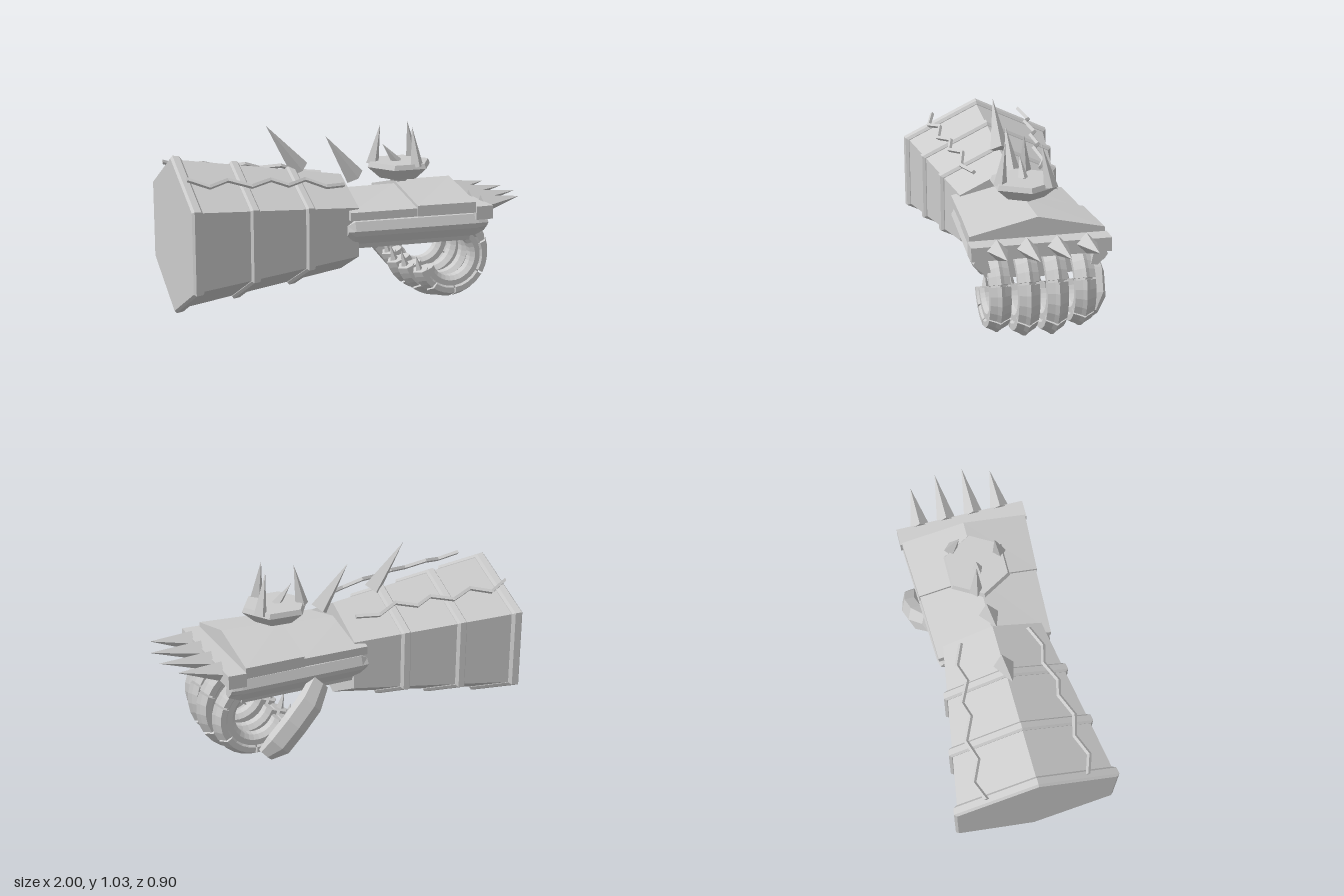
import * as THREE from 'three';

const steel = new THREE.MeshStandardMaterial({ color: 0xcccccc, flatShading: true });
steel.name = 'steel';

const V = (x, y, z) => new THREE.Vector3(x, y, z);

function addMesh(parent, name, geometry) {
  const mesh = new THREE.Mesh(geometry, steel);
  mesh.name = name;
  parent.add(mesh);
  return mesh;
}

// Closed solid through a row of equal-length convex rings, wound outwards
function loft(rings) {
  const n = rings[0].length;
  const tris = [];
  for (let i = 0; i < rings.length - 1; i++) {
    for (let j = 0; j < n; j++) {
      const k = (j + 1) % n;
      const a = rings[i][j], b = rings[i][k], c = rings[i + 1][k], d = rings[i + 1][j];
      tris.push([a, b, c], [a, c, d]);
    }
  }
  const first = rings[0], last = rings[rings.length - 1];
  for (let j = 1; j < n - 1; j++) {
    tris.push([first[0], first[j + 1], first[j]], [last[0], last[j], last[j + 1]]);
  }
  let volume = 0;
  for (const [a, b, c] of tris) volume += a.dot(b.clone().cross(c));
  const pts = tris.flatMap(([a, b, c]) => (volume > 0 ? [a, b, c] : [a, c, b]));
  const g = new THREE.BufferGeometry().setFromPoints(pts);
  g.computeVertexNormals();
  return g;
}

// Cross-section in the zy plane at a given x
const section = (x, zy) => zy.map(([z, y]) => V(x, y, z));

// Four-sided spike from a base point to a tip
function spike(parent, name, base, tip, radius) {
  const dir = tip.clone().sub(base);
  const m = addMesh(parent, name, new THREE.ConeGeometry(radius, dir.length(), 4));
  m.quaternion.setFromUnitVectors(V(0, 1, 0), dir.clone().normalize());
  m.position.copy(base).add(tip).multiplyScalar(0.5);
  return m;
}

// Hexagonal cuff section at x, grown outwards by a margin
function cuffRing(x, grow = 0) {
  const t = (x + 1) / 0.96;
  const h = 0.415 - 0.145 * t + grow;
  const s = 0.21 - 0.075 * t + grow * 0.5;
  const w = 0.43 - 0.15 * t + grow;
  const c = 0.467;
  return section(x, [[0, c + h], [w, c + s], [w, c - s], [0, c - h], [-w, c - s], [-w, c + s]]);
}

// Curled band around the finger centre, angles in degrees
function fingerBand(z, scale, from, to, inner, outer, half, steps) {
  const rings = [];
  for (let i = 0; i <= steps; i++) {
    const a = THREE.MathUtils.degToRad(from + ((to - from) * i) / steps);
    const profile = [
      [-half * 0.5, inner], [half * 0.5, inner], [half, inner + 0.025],
      [half, outer - 0.035], [half * 0.35, outer - 0.015], [0, outer],
      [-half * 0.35, outer - 0.015], [-half, outer - 0.035], [-half, inner + 0.025],
    ];
    rings.push(profile.map(([dz, r]) =>
      V(0.53 + Math.cos(a) * r * scale, 0.275 + Math.sin(a) * r * scale, z + dz)));
  }
  return loft(rings);
}

export function createModel() {
  const model = new THREE.Group();
  model.name = 'gauntlet';

  // Forearm cuff with raised bands
  const cuff = new THREE.Group();
  cuff.name = 'cuff';
  model.add(cuff);
  addMesh(cuff, 'cuffShell', loft([cuffRing(-0.99), cuffRing(-0.04)]));
  for (const x of [-0.97, -0.65, -0.33]) {
    const e = x === -0.97 ? 0.03 : 0.027;
    addMesh(cuff, 'cuffBand', loft([
      cuffRing(x - e, 0.004), cuffRing(x - e * 0.6, 0.02),
      cuffRing(x + e * 0.6, 0.02), cuffRing(x + e, 0.004),
    ]));
  }

  // Zigzag rods on both sides of the cuff
  const zigzag = [
    [-0.98, 0.82, 0.27], [-0.87, 0.78, 0.31], [-0.76, 0.80, 0.26],
    [-0.64, 0.765, 0.295], [-0.52, 0.782, 0.24], [-0.43, 0.75, 0.265],
    [-0.32, 0.765, 0.21], [-0.21, 0.722, 0.24], [-0.09, 0.715, 0.19],
  ];
  for (const side of [1, -1]) {
    const rings = zigzag.map(([x, y, z]) => [[0, 0.013], [0.013, 0], [0, -0.013], [-0.013, 0]]
      .map(([dz, dy]) => V(x, y + dy, side * z + dz)));
    addMesh(cuff, 'zigzagRod', loft(rings));
  }

  // Spikes along the top ridge
  spike(cuff, 'cuffSpike', V(-0.28, 0.78, 0), V(-0.47, 1.03, 0), 0.055);
  spike(cuff, 'wristSpike', V(0.045, 0.715, 0), V(-0.13, 0.955, 0), 0.055);

  // Hand: palm, back slab and ridged plates
  const hand = new THREE.Group();
  hand.name = 'hand';
  model.add(hand);
  const palm = (x, w) => section(x, [
    [w, 0.56], [w, 0.44], [w - 0.03, 0.37], [0, 0.35], [-w + 0.03, 0.37], [-w, 0.44], [-w, 0.56],
  ]);
  addMesh(hand, 'palm', loft([palm(-0.04, 0.28), palm(0.62, 0.31)]));
  const roof = (x, w, low, edge, ridge) => section(x, [
    [w, low], [w, edge], [0, ridge], [-w, edge], [-w, low],
  ]);
  addMesh(hand, 'rearPlate', loft([
    roof(-0.1, 0.32, 0.54, 0.585, 0.66), roof(0.28, 0.335, 0.54, 0.585, 0.662)]));
  addMesh(hand, 'frontPlate', loft([
    roof(0.28, 0.34, 0.54, 0.6, 0.682), roof(0.62, 0.36, 0.54, 0.6, 0.682)]));

  // Bevelled guards along both sides of the hand
  for (const side of [1, -1]) {
    const guard = (x, o, s) => section(x, [
      [o - 0.07, 0.535], [o - 0.02, 0.53], [o, 0.48], [o - 0.015, 0.45], [o - 0.055, 0.4], [o - 0.09, 0.41],
    ].map(([z, y]) => [side * z, 0.475 + (y - 0.475) * s]));
    addMesh(hand, 'sideGuard', loft([
      guard(-0.11, 0.315, 0.6), guard(-0.07, 0.325, 1), guard(0.64, 0.362, 1), guard(0.7, 0.355, 0.7),
    ]));
  }

  // Knuckle bar and its spikes
  const bar = addMesh(hand, 'knuckleBar', new THREE.BoxGeometry(0.1, 0.075, 0.74));
  bar.position.set(0.67, 0.538, 0);
  for (const [z, reach] of [[0.235, 0.95], [0.08, 1], [-0.08, 1], [-0.235, 0.95]]) {
    spike(hand, 'knuckleSpike', V(0.715, 0.553, z), V(reach, 0.585, z), 0.055);
  }

  // Curled fingers with overlapping armour segments
  for (const [z, scale] of [[0.22, 0.86], [0.075, 0.98], [-0.075, 1], [-0.23, 0.88]]) {
    const finger = new THREE.Group();
    finger.name = 'finger';
    model.add(finger);
    addMesh(finger, 'fingerCore', fingerBand(z, scale, 95, -158, 0.135, 0.245, 0.044, 20));
    for (const [from, to] of [[72, 25], [22, -30], [-33, -85], [-88, -125], [-128, -160]]) {
      addMesh(finger, 'fingerArmour', fingerBand(z, scale, from, to, 0.18, 0.275, 0.056, 4));
    }
    spike(finger, 'fingerClaw', V(0.53 - 0.21 * scale, 0.19, z), V(0.53 - 0.24 * scale, 0.29, z), 0.025);
  }

  // Thumb bent down along the right side
  const thumbPath = [
    [0.18, 0.43, -0.31, 0.06], [0.26, 0.34, -0.365, 0.075], [0.36, 0.24, -0.385, 0.075],
    [0.45, 0.13, -0.37, 0.075], [0.51, 0.065, -0.33, 0.045],
  ];
  addMesh(model, 'thumb', loft(thumbPath.map(([x, y, z, r]) => {
    const ring = [];
    for (let i = 0; i < 6; i++) {
      const a = (i * Math.PI) / 3;
      const across = Math.cos(a) * r * 0.75, up = Math.sin(a) * r * 1.05;
      ring.push(V(x + up * 0.7, y + up * 0.7, z + across));
    }
    return ring;
  })));

  // Hexagonal bowl with spikes on the back of the hand
  const crown = new THREE.Group();
  crown.name = 'crown';
  model.add(crown);
  const bowl = [[0, 0.67], [0.05, 0.68], [0.06, 0.695], [0.115, 0.7], [0.19, 0.765], [0.178, 0.792], [0, 0.792]]
    .map(([r, y]) => new THREE.Vector2(r, y));
  const bowlMesh = addMesh(crown, 'crownBowl', new THREE.LatheGeometry(bowl, 6, Math.PI / 2));
  bowlMesh.position.x = 0.31;
  const crownSpikes = [
    [0.165, -0.04, 0.205, 1, -0.025], [0.44, -0.115, 0.39, 1, -0.075], [0.36, 0.14, 0.34, 1, 0.108],
  ];
  for (const [x, z, tx, ty, tz] of crownSpikes) {
    spike(crown, 'crownSpike', V(x, 0.775, z), V(tx, ty, tz), 0.038);
  }
  spike(crown, 'crownThorn', V(0.3, 0.78, 0), V(0.21, 0.89, 0), 0.03);

  return model;
}
